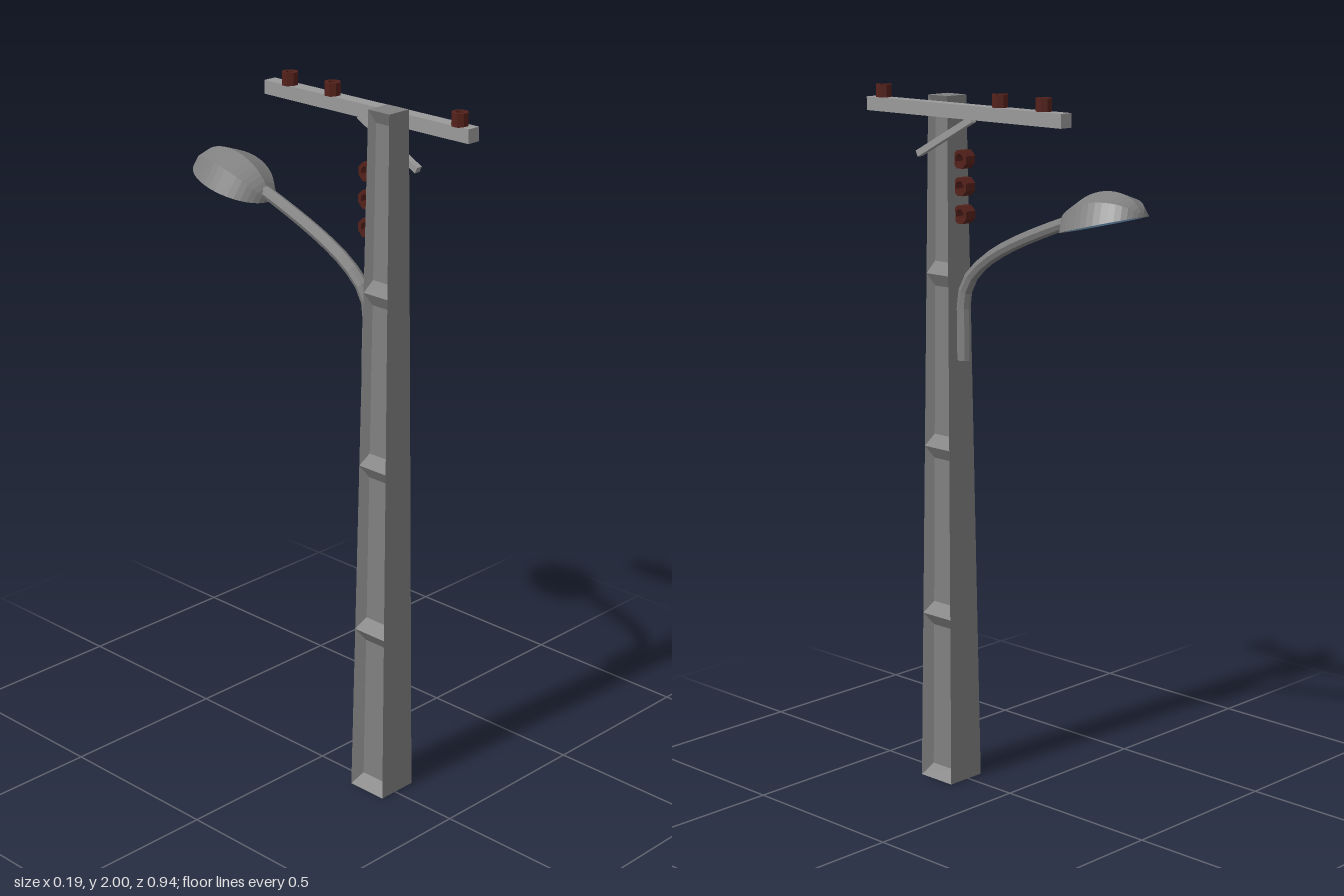
import * as THREE from 'three';

const material = (color) => new THREE.MeshStandardMaterial({ color, flatShading: true, side: THREE.DoubleSide });
const darkGrey = material(0x808080);
const lightGrey = material(0x9a9a9a);
const brown = material(0x54211a);
const blue = material(0x80b8e8);

const POLE = { x: 0.008, z: 0.23, height: 1.98, panels: 4 };
const halfWidth = (y) => 0.061 - 0.024 * (y / POLE.height);

function add(parent, name, geometry, mat, x = 0, y = 0, z = 0) {
  const mesh = new THREE.Mesh(geometry, mat);
  mesh.name = name;
  mesh.position.set(x, y, z);
  parent.add(mesh);
  return mesh;
}

// Tapered square post, both x sides divided into bevelled recessed panels
function poleGeometry() {
  const pos = [];
  const quad = (a, b, c, d) => [a, b, c, a, c, d].forEach((p) => pos.push(...p));
  const H = POLE.height;
  const corner = (sx, y, sz) => [sx * halfWidth(y), y, sz * halfWidth(y)];
  for (const s of [1, -1]) {
    // Plain front and back
    quad(corner(-s, 0, s), corner(s, 0, s), corner(s, H, s), corner(-s, H, s));
    // Recessed panels
    for (let i = 0; i < POLE.panels; i++) {
      const y0 = (H * i) / POLE.panels, y1 = (H * (i + 1)) / POLE.panels;
      const inner = (y, sz) => {
        const h = halfWidth(y);
        return [s * h * 0.58, y, sz * h * 0.62];
      };
      const outer = [corner(s, y0, s), corner(s, y0, -s), corner(s, y1, -s), corner(s, y1, s)];
      const floor = [inner(y0 + 0.035, s), inner(y0 + 0.035, -s), inner(y1 - 0.035, -s), inner(y1 - 0.035, s)];
      quad(...floor);
      for (let k = 0; k < 4; k++) {
        const n = (k + 1) % 4;
        quad(outer[k], outer[n], floor[n], floor[k]);
      }
    }
  }
  // Top and bottom caps
  quad(corner(-1, H, 1), corner(1, H, 1), corner(1, H, -1), corner(-1, H, -1));
  quad(corner(-1, 0, -1), corner(1, 0, -1), corner(1, 0, 1), corner(-1, 0, 1));
  const g = new THREE.BufferGeometry();
  g.setAttribute('position', new THREE.Float32BufferAttribute(pos, 3));
  g.computeVertexNormals();
  return g;
}

// Hollow eight-sided insulator, centred on its own axis
function insulatorGeometry(height, radius, bore) {
  const h = height / 2;
  const profile = [[bore, -h], [radius, -h], [radius, h], [bore, h], [bore, -h]];
  return new THREE.LatheGeometry(profile.map(([r, y]) => new THREE.Vector2(r, y)), 8, Math.PI / 8);
}

// Bent lamp arm that narrows slightly towards the lamp
function armGeometry() {
  const path = new THREE.CatmullRomCurve3([
    [0.009, 1.247, 0.167], [0.009, 1.34, 0.167], [0.009, 1.43, 0.166], [0.008, 1.485, 0.14],
    [0.006, 1.54, 0.077], [0.004, 1.592, -0.018], [0.001, 1.666, -0.204], [0, 1.68, -0.25],
  ].map((p) => new THREE.Vector3(...p)));
  const rings = 14, sides = 8;
  const g = new THREE.TubeGeometry(path, rings, 0.02, sides, false);
  const p = g.attributes.position, v = new THREE.Vector3();
  for (let i = 0; i < p.count; i++) {
    const t = Math.floor(i / (sides + 1)) / rings;
    const centre = path.getPointAt(t);
    v.fromBufferAttribute(p, i).sub(centre).multiplyScalar(1 - 0.12 * t).add(centre);
    p.setXYZ(i, v.x, v.y, v.z);
  }
  g.computeVertexNormals();
  return g;
}

export function createModel() {
  const model = new THREE.Group();
  model.name = 'streetLampPole';

  add(model, 'pole', poleGeometry(), darkGrey, POLE.x, 0, POLE.z);

  // Crossarm with upright insulators and a diagonal brace
  add(model, 'crossarm', new THREE.BoxGeometry(0.04, 0.038, 0.736), lightGrey, 0.066, 1.946, 0.102);
  for (const z of [-0.183, -0.023, 0.426]) {
    add(model, 'crossarmInsulator', insulatorGeometry(0.036, 0.023, 0.013), brown, 0.062, 1.982, z);
  }
  const brace = add(model, 'brace', new THREE.BoxGeometry(0.018, 0.018, 0.235), lightGrey, 0.065, 1.873, 0.18);
  brace.rotation.x = Math.atan2(0.105, 0.203);

  // Insulators lying sideways on the back of the pole
  for (const y of [1.807, 1.732, 1.655]) {
    const insulator = add(model, 'poleInsulator', insulatorGeometry(0.036, 0.027, 0.016), brown, 0.002, y, 0.172);
    insulator.rotation.z = Math.PI / 2;
  }

  // Lamp arm with a closed lower end
  add(model, 'lampArm', armGeometry(), darkGrey);
  const cap = add(model, 'lampArmCap', new THREE.CircleGeometry(0.02, 8), darkGrey, 0.009, 1.247, 0.167);
  cap.rotation.x = Math.PI / 2;

  // Tilted lamp head: faceted half ellipsoid, rim and glass
  const lamp = new THREE.Group();
  lamp.name = 'lamp';
  lamp.position.set(0, 1.676, -0.341);
  lamp.rotation.x = 0.245;
  model.add(lamp);
  const dome = new THREE.SphereGeometry(1, 4, 20, 0, Math.PI).rotateX(-Math.PI / 2).scale(0.097, 0.087, 0.136);
  add(lamp, 'lampShade', dome, darkGrey);
  const flat = (g) => g.rotateX(Math.PI / 2).scale(0.097, 1, 0.136);
  add(lamp, 'lampRim', flat(new THREE.RingGeometry(0.85, 1, 40)), darkGrey);
  add(lamp, 'lampGlass', flat(new THREE.CircleGeometry(0.85, 40)), blue);

  return model;
}
